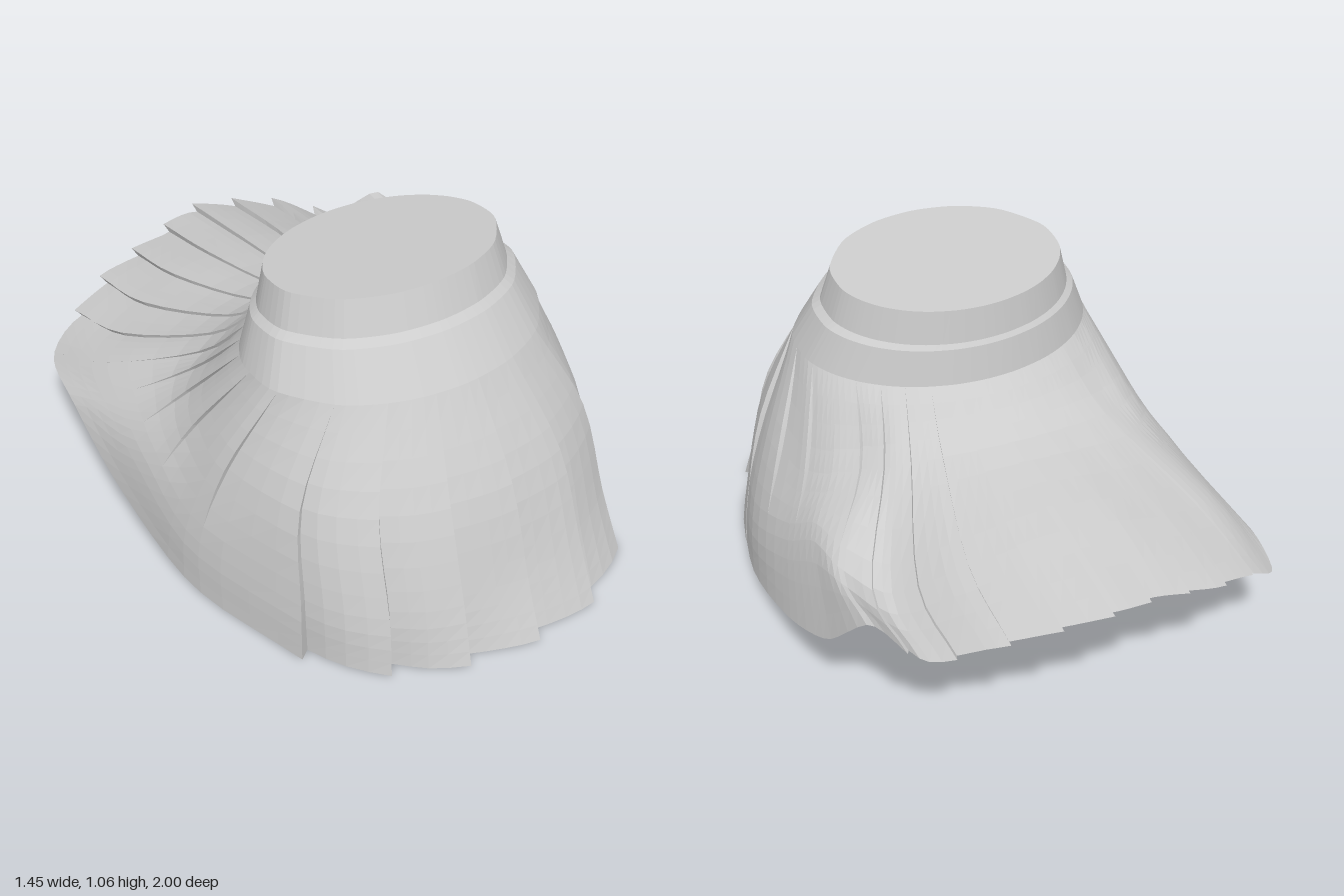
import * as THREE from 'three';

const HALF = 10;             // stations from front centre to back centre
const COUNT = HALF * 2;
const ANGLES = [0, 22, 46, 76, 100, 116, 130, 143, 155, 168, 180];
const PLEATS = 25, PER_PLEAT = 4, ROWS = 12;

const V = (x, y, z) => new THREE.Vector3(x, y, z);
const closed = (pts) => new THREE.CatmullRomCurve3(pts, true, 'catmullrom', 0.4);

// Closed ring from front-to-back points of the left side and of the right side
function ring(left, right = left) {
  const pts = left.map((p) => V(...p));
  for (let i = HALF - 1; i > 0; i--) pts.push(V(-right[i][0], right[i][1], right[i][2]));
  return closed(pts);
}

// Tilted oval ring, listed at the same stations
function oval(rx, zFront, zBack, yFront, yBack) {
  return ring(ANGLES.map((deg) => {
    const a = THREE.MathUtils.degToRad(deg), k = (1 + Math.cos(a)) / 2;
    return [rx * Math.sin(a), THREE.MathUtils.lerp(yBack, yFront, k), THREE.MathUtils.lerp(zBack, zFront, k)];
  }));
}

// Surface through rows of points; columns run around, rows run down
function loft(rows) {
  const n = rows[0].length, pos = [], idx = [];
  rows.forEach((r) => r.forEach((p) => pos.push(p.x, p.y, p.z)));
  for (let j = 0; j < rows.length - 1; j++) {
    for (let i = 0; i < n; i++) {
      const a = j * n + i, b = j * n + (i + 1) % n, c = a + n, d = b + n;
      idx.push(a, c, b, b, c, d);
    }
  }
  const g = new THREE.BufferGeometry();
  g.setAttribute('position', new THREE.Float32BufferAttribute(pos, 3));
  g.setIndex(idx);
  g.computeVertexNormals();
  return g;
}

export function createModel() {
  const group = new THREE.Group();
  group.name = 'skirt';
  const cloth = new THREE.MeshStandardMaterial({ color: 0xcccccc, flatShading: true, side: THREE.DoubleSide });
  cloth.name = 'lightGreyCloth';
  const add = (name, geo) => {
    const m = new THREE.Mesh(geo, cloth);
    m.name = name;
    group.add(m);
  };

  // Waist rings
  const top = oval(0.375, 0.51, -0.05, 1.065, 1.0);
  const bandLow = oval(0.405, 0.55, -0.06, 0.955, 0.89);
  const ledge = oval(0.43, 0.575, -0.07, 0.935, 0.875);
  const yoke = oval(0.485, 0.67, -0.085, 0.8, 0.76);

  // Skirt rings: points shared by both sides, then each side's own
  const hipFront = [[0, 0.5, 0.83], [0.27, 0.5, 0.785], [0.5, 0.5, 0.62], [0.615, 0.5, 0.3]];
  const hipBack = [[0.44, 0.57, -0.14], [0.36, 0.595, -0.19], [0.25, 0.615, -0.23],
    [0.12, 0.63, -0.26], [0, 0.635, -0.27]];
  const hip = ring(
    [...hipFront, [0.59, 0.5, 0.05], [0.53, 0.535, -0.06], ...hipBack],
    [...hipFront, [0.58, 0.52, 0.04], [0.51, 0.55, -0.08], ...hipBack]);
  const kneeFront = [[0, 0.2, 0.925], [0.29, 0.2, 0.89], [0.54, 0.2, 0.7], [0.69, 0.22, 0.25]];
  const kneeBack = [[0.35, 0.485, -0.62], [0.17, 0.54, -0.65], [0, 0.56, -0.65]];
  const knee = ring(
    [...kneeFront, [0.67, 0.32, -0.05], [0.635, 0.42, -0.22], [0.62, 0.45, -0.42], [0.52, 0.4, -0.53], ...kneeBack],
    [...kneeFront, [0.69, 0.32, -0.05], [0.655, 0.365, -0.27], [0.61, 0.39, -0.45], [0.5, 0.43, -0.55], ...kneeBack]);
  const hem = ring(
    [[0, 0, 1.0], [0.3, 0, 0.97], [0.56, 0, 0.78], [0.7, 0.02, 0.25], [0.72, 0.13, -0.18], [0.7, 0.27, -0.5],
      [0.645, 0.475, -0.73], [0.53, 0.38, -0.84], [0.36, 0.44, -0.93], [0.18, 0.48, -0.98], [0, 0.5, -1.0]],
    [[0, 0, 1.0], [0.3, 0, 0.93], [0.55, 0, 0.72], [0.7, 0.02, 0.25], [0.73, 0.13, -0.18], [0.725, 0.265, -0.5],
      [0.675, 0.268, -0.74], [0.53, 0.36, -0.84], [0.36, 0.42, -0.92], [0.17, 0.47, -0.95], [0, 0.5, -1.0]]);

  // Pleated skirt: each pleat swells outward, then steps back in
  const rows = Array.from({ length: ROWS + 1 }, () => []);
  const params = [];
  for (let k = 0; k < PLEATS; k++) {
    for (let s = 0; s <= PER_PLEAT; s++) {
      const f = s / PER_PLEAT;
      const t = ((k + f) / PLEATS + 0.29 / COUNT) % 1;
      params.push(t);
      const fold = new THREE.CatmullRomCurve3([yoke, hip, knee, hem].map((c) => c.getPoint(t)), false, 'catmullrom', 0.5);
      const station = Math.min(t, 1 - t) * COUNT;
      const front = 1 - THREE.MathUtils.smoothstep(station, 1.9, 2.8);
      const back = THREE.MathUtils.smoothstep(station, 6, 7.2);
      for (let j = 0; j <= ROWS; j++) {
        const v = j / ROWS, p = fold.getPoint(v);
        const depth = 0.05 * front * v + 0.035 * back * v
          + 0.018 * (1 - front) * (1 - back) * Math.sin(Math.PI * Math.min(1, v * 1.8));
        const out = V(p.x, 0, p.z - 0.25).normalize();
        out.y = 0.4 * back;
        rows[j].push(p.addScaledVector(out, -depth * (1 - f)));
      }
    }
  }
  // Keep the front hem level on the ground
  rows.forEach((r) => r.forEach((p) => { p.y = Math.max(p.y, 0); }));
  add('pleatedSkirt', loft(rows));

  // Waistband and yoke, in the same columns as the pleats
  const around = (curve) => params.map((t) => curve.getPoint(t));
  add('waistband', loft([around(top), around(bandLow)]));
  add('bandLedge', loft([around(bandLow), around(ledge)]));
  add('yoke', loft([around(ledge), around(yoke)]));

  // Flat top closing the waist
  const centre = params.map(() => V(0, 1.0325, 0.23));
  add('waistTop', loft([centre, around(top)]));

  return group;
}
